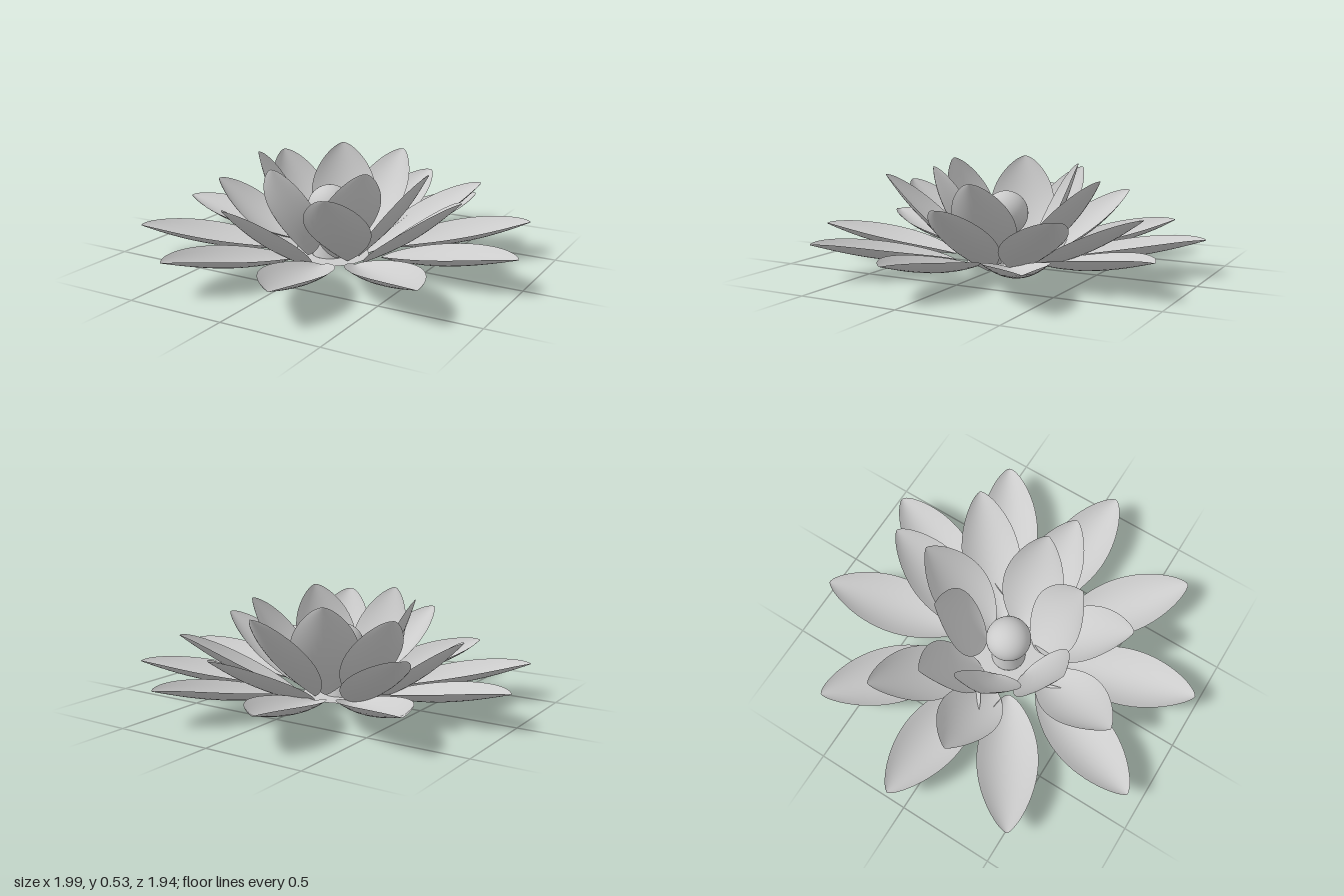
import * as THREE from 'three';

const material = new THREE.MeshStandardMaterial({ color: 0xcccccc, side: THREE.DoubleSide });
const heart = new THREE.Vector3(-0.03, 0, 0.02);
const up = new THREE.Vector3(0, 1, 0);

// Cupped oval with a blunt tip: x across, y from base to tip, z towards the inside of the flower
function petalGeometry(length, width, cup, bow) {
  const geometry = new THREE.PlaneGeometry(2, 1, 12, 28);
  const p = geometry.attributes.position;
  for (let i = 0; i < p.count; i++) {
    const side = p.getX(i);
    const t = (1 - Math.cos(Math.PI * (p.getY(i) + 0.5))) / 2;
    const swell = Math.pow(Math.max(0, Math.sin(Math.PI * t)), 0.66);
    p.setXYZ(i,
      side * swell * width / 2,
      t * length,
      cup * swell * side * side - bow * Math.sin(Math.PI * t));
  }
  geometry.computeVertexNormals();
  return geometry;
}

// Petal running to the given tip from a base near the centre, turned by swirl degrees
function petal(name, centre, tip, swirl, { radius, y, width, cup }) {
  const out = new THREE.Vector3(tip.x - centre.x, 0, tip.z - centre.z).normalize();
  out.applyAxisAngle(up, -THREE.MathUtils.degToRad(swirl));
  const base = centre.clone().addScaledVector(out, radius).setY(y);
  const along = tip.clone().sub(base);
  const length = along.length();
  along.normalize();
  const across = along.clone().cross(up).normalize();
  const inward = across.clone().cross(along);
  const mesh = new THREE.Mesh(petalGeometry(length, width, cup, 0.03), material);
  mesh.name = name;
  mesh.quaternion.setFromRotationMatrix(new THREE.Matrix4().makeBasis(across, along, inward));
  mesh.position.copy(base);
  return mesh;
}

export function createModel() {
  const flower = new THREE.Group();
  flower.name = 'waterLily';

  // Outer ring of ten low petals
  const outer = new THREE.Group();
  outer.name = 'outerPetals';
  const outerSize = { radius: 0.27, y: 0.06, width: 0.31, cup: 0.065 };
  for (let i = 0; i < 10; i++) {
    const a = THREE.MathUtils.degToRad(4.5 + 36 * i);
    const tip = new THREE.Vector3(Math.cos(a), 0.19, Math.sin(a));
    outer.add(petal('outerPetal', new THREE.Vector3(), tip, 0, outerSize));
  }
  flower.add(outer);

  // Rising tiers, each listed by petal tip (x, y, z) and swirl
  const tiers = [
    { name: 'middlePetal', radius: 0.2, y: 0.015, width: 0.31, cup: 0.06, tips: [
      [0.16, 0.33, -0.79, 0], [0.57, 0.36, -0.53, 0], [0.68, 0.39, 0, 0],
      [-0.2, 0.4, 0.7, -14], [-0.69, 0.36, 0.07, 0], [-0.62, 0.36, -0.43, 0]] },
    { name: 'upperPetal', radius: 0.16, y: 0.035, width: 0.32, cup: 0.055, tips: [
      [0.1, 0.49, -0.55, 12], [0.48, 0.49, -0.06, 0],
      [0.26, 0.48, 0.56, -35], [-0.46, 0.49, -0.22, 0]] },
    { name: 'innerPetal', radius: 0.14, y: 0.05, width: 0.34, cup: 0.045, tips: [
      [0.29, 0.54, 0.25, 8], [-0.13, 0.54, 0.39, 8],
      [-0.41, 0.54, 0.1, 15], [-0.15, 0.54, -0.33, 20]] },
  ];
  for (const tier of tiers) {
    const ring = new THREE.Group();
    ring.name = tier.name + 's';
    for (const [x, y, z, swirl] of tier.tips) {
      ring.add(petal(tier.name, heart, new THREE.Vector3(x, y, z), swirl, tier));
    }
    flower.add(ring);
  }

  // Flat collar with a round hole
  const collar = new THREE.Mesh(new THREE.RingGeometry(0.09, 0.2, 40), material);
  collar.name = 'collar';
  collar.rotation.x = Math.PI / 2;
  collar.position.copy(heart).setY(0.03);
  flower.add(collar);

  // Hollow stem carrying the round heart
  const stem = new THREE.Mesh(new THREE.CylinderGeometry(0.07, 0.09, 0.17, 32, 1, true), material);
  stem.name = 'stem';
  stem.position.copy(heart).setY(0.115);
  flower.add(stem);

  const ball = new THREE.Mesh(new THREE.SphereGeometry(0.115, 40, 24), material);
  ball.name = 'heart';
  ball.position.copy(heart).setY(0.28);
  flower.add(ball);

  return flower;
}
